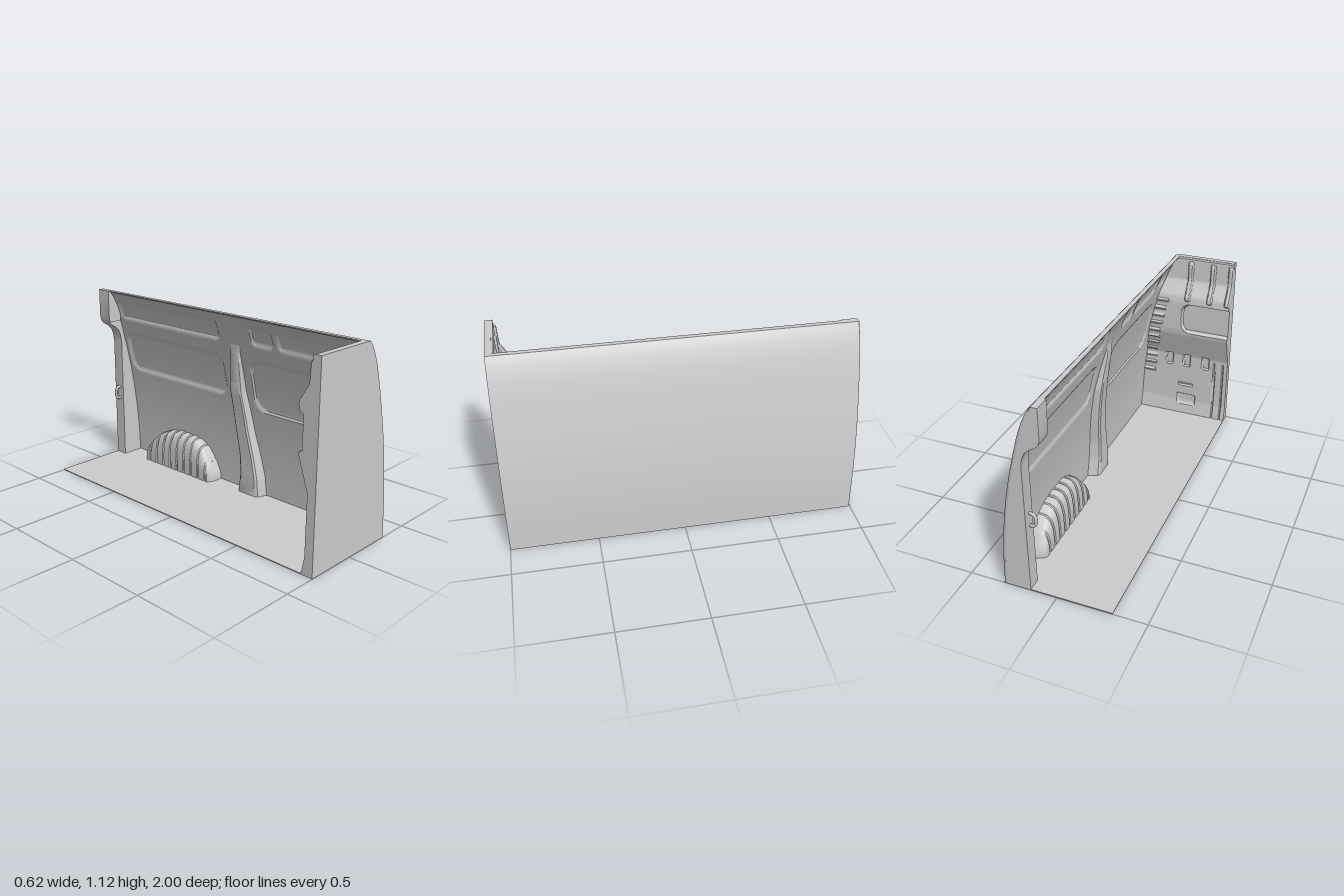
import * as THREE from 'three';
import { toCreasedNormals } from 'three/addons/utils/BufferGeometryUtils.js';

const H = 1.125;
const LEFT = -0.31;
const material = new THREE.MeshStandardMaterial({ color: 0xcccccc, side: THREE.DoubleSide });

// Curved outer side of the body: x for each height
const bodyCurve = new THREE.CubicInterpolant(
  [0, 0.2, 0.4, 0.6, 0.8, 1.0, 1.06, 1.1, H],
  [0.308, 0.299, 0.279, 0.247, 0.202, 0.146, 0.12, 0.098, 0.076], 1);
const outerX = (y) => bodyCurve.evaluate(y)[0];
const innerX = (y) => outerX(y) - 0.023 - 0.004 * y;

// Piecewise linear lookup in [[key, value...], ...]
function lookup(table, k, column = 1) {
  for (let i = 1; i < table.length; i++) {
    const a = table[i - 1], b = table[i];
    if (k <= b[0]) {
      const t = Math.max(0, (k - a[0]) / (b[0] - a[0]));
      return a[column] + t * (b[column] - a[column]);
    }
  }
  return table[table.length - 1][column];
}

// 1 inside a rounded rectangle, 0 outside, with a narrow sloping edge
function pocket(px, py, [x0, x1, y0, y1, r], edge) {
  const qx = Math.abs(px - (x0 + x1) / 2) - (x1 - x0) / 2 + r;
  const qy = Math.abs(py - (y0 + y1) / 2) - (y1 - y0) / 2 + r;
  const d = Math.hypot(Math.max(qx, 0), Math.max(qy, 0)) + Math.min(Math.max(qx, qy), 0) - r;
  return 1 - THREE.MathUtils.smoothstep(d, -edge, 0);
}

function addMesh(group, name, geometry) {
  const mesh = new THREE.Mesh(geometry, material);
  mesh.name = name;
  group.add(mesh);
  return mesh;
}

// Grid surface from a rule f(u, v) -> [x, y, z]
function surface(f, nu, nv, crease = 0.6) {
  const g = new THREE.PlaneGeometry(1, 1, nu, nv);
  const p = g.attributes.position;
  for (let i = 0; i < p.count; i++) p.setXYZ(i, ...f(p.getX(i) + 0.5, p.getY(i) + 0.5));
  return toCreasedNormals(g, crease);
}

function extrude(points, depth, z) {
  const g = new THREE.ExtrudeGeometry(new THREE.Shape(points.map((p) => new THREE.Vector2(...p))),
    { depth, bevelEnabled: false });
  return toCreasedNormals(g.translate(0, 0, z), 0.5);
}

const outline = (inset) => Array.from({ length: 41 }, (_, i) => {
  const y = H * i / 40;
  return [outerX(y) - inset, y];
});

// Recessed panels of the inner side wall: z0, z1, y0, y1, corner radius
const wallPanels = [
  [-0.9, -0.05, 0.59, 0.85, 0.07], [0.15, 0.84, 0.54, 0.86, 0.09],
  [-0.9, -0.04, 0.94, 1.07, 0.03], [0.2, 0.36, 0.95, 1.07, 0.03],
  [0.39, 0.74, 0.95, 1.07, 0.03], [0.78, 0.92, 0.95, 1.07, 0.03],
];

// Bulkhead relief: section by height, pockets (depth last) and raised ribs
const bulkheadSection = [[0, 0.93], [0.1, 0.948], [0.44, 0.95], [0.62, 0.89], [0.66, 0.885],
  [0.85, 0.885], [0.89, 0.893], [0.94, 0.925], [0.98, 0.948], [H, 0.955]];
const bulkheadPockets = [
  [-0.4, 0.0, 0.64, 0.84, 0.06, 0.025],
  ...[0.09, -0.03, -0.16].map((x) => [x - 0.027, x + 0.027, 0.36, 0.45, 0.01, 0.012]),
  [-0.08, 0.03, 0.21, 0.235, 0.01, 0.012], [-0.1, 0.03, 0.07, 0.15, 0.012, 0.01],
  [-0.23, -0.215, -0.1, 0.42, 0.005, 0.01], [-0.285, -0.275, -0.1, 0.42, 0.004, 0.01],
  ...[-0.295, -0.18, -0.035].map((x) => [x - 0.018, x + 0.018, 0.86, 1.1, 0.01, -0.014]),
];
function bulkheadZ(x, y) {
  let z = lookup(bulkheadSection, y);
  for (const p of bulkheadPockets) z += p[5] * pocket(x, y, p, 0.008);
  // Short slats beside the side wall
  const wall = innerX(y);
  for (let i = 0; i < 11; i++) {
    const c = 0.3 + i * 0.055;
    if (Math.abs(y - c) < 0.02) z -= 0.012 * pocket(x, y, [wall - 0.08, wall + 0.05, c - 0.013, c + 0.013, 0.008], 0.008);
  }
  return z;
}

export function createModel() {
  const model = new THREE.Group();
  model.name = 'vanSideSection';

  // Floor
  addMesh(model, 'floor', new THREE.BoxGeometry(0.612, 0.006, 2).translate(-0.004, 0.003, 0));

  // Outer skin, rounded in at the rear edge
  const skinZ = [-1, -0.998, -0.994, -0.988, -0.98, -0.3, 0.3, 1];
  addMesh(model, 'outerSkin', surface((u, v) => {
    const z = skinZ[Math.round(u * 7)], y = v * H;
    const s = Math.max(0, (-0.98 - z) / 0.02);
    return [outerX(y) - 0.02 * (1 - Math.sqrt(Math.max(0, 1 - s * s))), y, z];
  }, 7, 48));

  // Inner side wall with recessed panels
  addMesh(model, 'innerWall', surface((u, v) => {
    const z = -0.99 + u * 1.97, y = v * H;
    let x = innerX(y);
    for (const p of wallPanels) x += 0.01 * pocket(z, y, p, 0.014);
    return [x, y, z];
  }, 200, 100));
  addMesh(model, 'wallTopRail', new THREE.BoxGeometry(0.027, 0.006, 1.98).translate(0.0625, H - 0.003, 0));

  // Front bulkhead: flat outer plate and shaped inner lining
  addMesh(model, 'bulkheadPlate', extrude([[LEFT, 0], ...outline(0), [LEFT, H]], 0.035, 0.965));
  addMesh(model, 'bulkheadLining', surface((u, v) => {
    const y = v * H;
    const x = LEFT + u * (innerX(y) + 0.005 - LEFT);
    return [x, y, v > 0.999 ? 0.97 : bulkheadZ(x, y)];
  }, 96, 150));
  const edge = [[0, 0.97]];
  for (let i = 0; i <= 80; i++) edge.push([H * i / 80, bulkheadZ(LEFT, H * i / 80)]);
  edge.push([H, 0.97]);
  const edgeShape = new THREE.Shape(edge.map(([y, z]) => new THREE.Vector2(z, y)));
  addMesh(model, 'bulkheadEdge', new THREE.ShapeGeometry(edgeShape).rotateY(-Math.PI / 2).translate(LEFT, 0, 0));

  // Rear door pillar with its stepped header
  const curve = outline(0.02);
  addMesh(model, 'rearPillar', extrude([...curve, [0.04, H], [0.04, 0.95], [0.048, 0.925], [0.065, 0.905],
    [0.1, 0.885], [0.125, 0.86], [0.14, 0.825], [0.147, 0.78], [0.147, 0]], 0.075, -1));
  addMesh(model, 'rearHeader', extrude([[0.076, H], [0.04, H], [0.04, 0.95], [0.048, 0.925], [0.13, 0.925],
    [0.13, 1.0]], 0.09, -1));

  // Grab handle on the rear pillar
  const handlePath = new THREE.CatmullRomCurve3([[0.155, 0.475], [0.122, 0.468], [0.112, 0.435], [0.122, 0.402],
    [0.155, 0.395]].map(([x, y]) => new THREE.Vector3(x, y, -0.955)));
  addMesh(model, 'grabHandle', new THREE.TubeGeometry(handlePath, 20, 0.009, 8));

  // Middle pillar: y, rear edge z, front edge z, depth
  const pillar = [[0, 0.01, 0.21, 0.068], [0.12, 0.03, 0.2, 0.068], [0.25, 0.03, 0.17, 0.062],
    [0.4, 0.01, 0.135, 0.055], [0.65, -0.01, 0.1, 0.042], [0.85, 0.02, 0.1, 0.02], [0.95, 0.03, 0.1, -0.004]];
  addMesh(model, 'middlePillar', surface((u, v) => {
    const y = v * 0.95, k = Math.round(u * 5);
    const z0 = lookup(pillar, y, 1), z1 = lookup(pillar, y, 2), d = lookup(pillar, y, 3);
    const across = [0, 0.12, 0.2, 0.8, 0.88, 1][k], out = [-0.2, 0.85, 1, 1, 0.85, -0.2][k];
    return [innerX(y) - d * out, y, z0 + (z1 - z0) * across];
  }, 5, 32));

  // Ribbed wheel arch
  const arch = [[-0.785, 0], [-0.77, 0.06], [-0.72, 0.14], [-0.66, 0.195], [-0.58, 0.23], [-0.48, 0.245],
    [-0.34, 0.24], [-0.26, 0.2], [-0.2, 0.12], [-0.17, 0.05], [-0.165, 0]];
  addMesh(model, 'wheelArch', surface((u, v) => {
    const z = -0.785 + u * 0.62, h = lookup(arch, z);
    const groove = Math.sin(u * Math.PI * 20) > 0.75 ? 0.007 : 0;
    const depth = 0.108 * Math.min(1, Math.sqrt(h / 0.1)) - groove;
    const a = v * Math.PI / 2;
    return [0.287 - Math.max(0, depth) * Math.pow(Math.cos(a), 0.45), Math.max(0, h - groove) * Math.pow(Math.sin(a), 0.6), z];
  }, 160, 20));

  return model;
}
